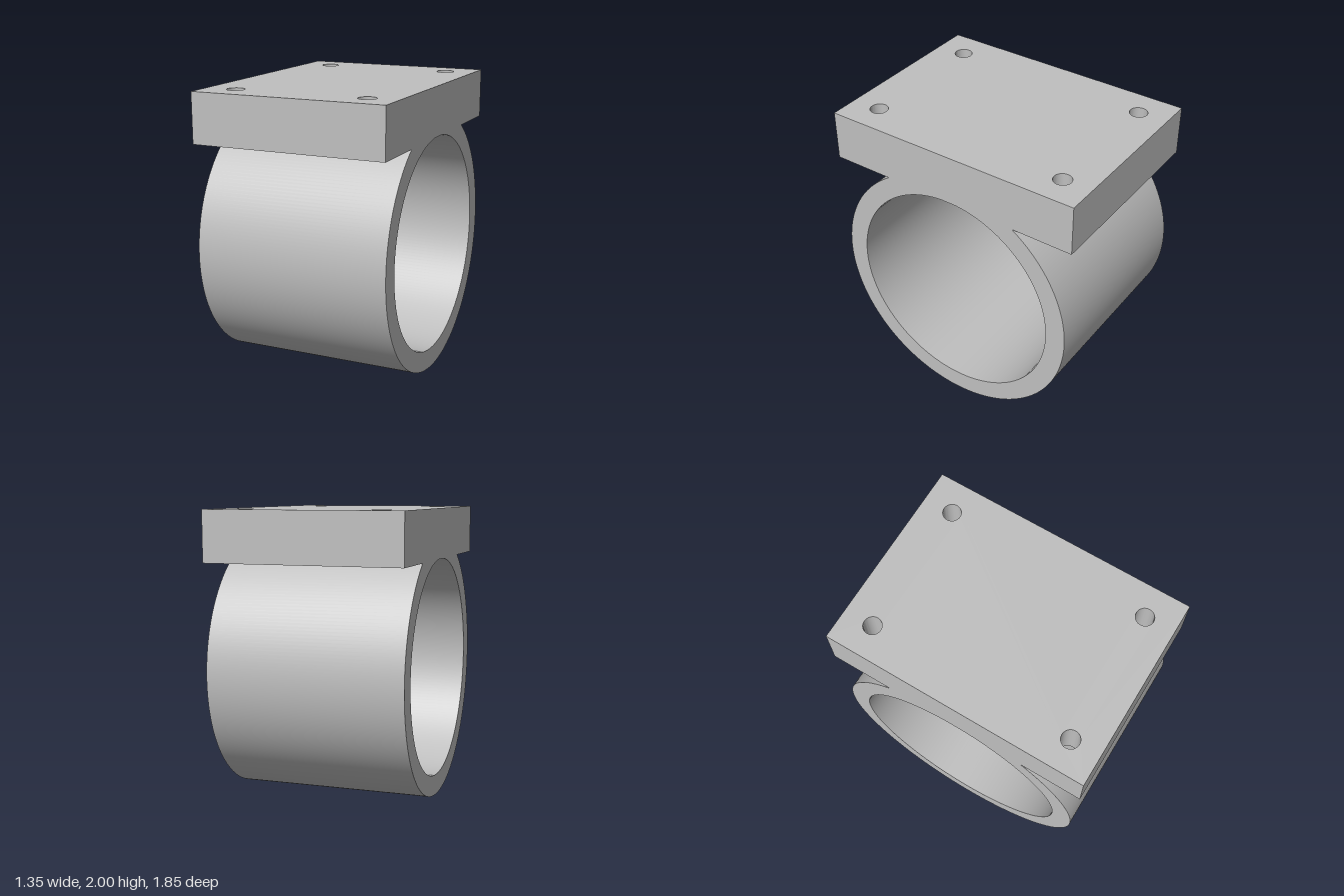
import * as THREE from 'three';
import { toCreasedNormals } from 'three/addons/utils/BufferGeometryUtils.js';

const WIDTH = 1.35, LENGTH = 1.846;      // plate size along x and z
const PLATE_BOTTOM = 1.655, TOP = 2;
const CENTRE_Y = 0.9, OUTER = 0.9, BORE = 0.757;

function extrude(shape, depth, curveSegments) {
  const geometry = new THREE.ExtrudeGeometry(shape, { depth, curveSegments, bevelEnabled: false });
  return toCreasedNormals(geometry, 0.5);
}

// Mounting plate with four vertical through holes
function plateGeometry() {
  const w = WIDTH / 2, l = LENGTH / 2;
  const shape = new THREE.Shape([
    new THREE.Vector2(-w, -l), new THREE.Vector2(w, -l),
    new THREE.Vector2(w, l), new THREE.Vector2(-w, l),
  ]);
  for (const sx of [-1, 1]) {
    for (const sz of [-1, 1]) {
      const hole = new THREE.Path();
      hole.absarc(sx * 0.466, sz * 0.715, 0.061, 0, Math.PI * 2, true);
      shape.holes.push(hole);
    }
  }
  return extrude(shape, TOP - PLATE_BOTTOM, 24)
    .rotateX(-Math.PI / 2)
    .translate(0, PLATE_BOTTOM, 0);
}

// Sleeve along x, cut flat where it meets the underside of the plate
function sleeveGeometry() {
  const rise = PLATE_BOTTOM - CENTRE_Y;
  const a = Math.asin(rise / OUTER), b = Math.asin(rise / BORE);
  const shape = new THREE.Shape();
  shape.absarc(0, CENTRE_Y, OUTER, a, Math.PI - a, true);
  shape.absarc(0, CENTRE_Y, BORE, Math.PI - b, Math.PI * 2 + b, false);
  return extrude(shape, WIDTH, 96)
    .translate(0, 0, -WIDTH / 2)
    .rotateY(Math.PI / 2);
}

export function createModel() {
  const grey = new THREE.MeshStandardMaterial({ color: 0xbfbfbf });
  grey.name = 'light grey';

  const model = new THREE.Group();
  model.name = 'pipeMount';
  const parts = { mountingPlate: plateGeometry(), sleeve: sleeveGeometry() };
  for (const [name, geometry] of Object.entries(parts)) {
    const mesh = new THREE.Mesh(geometry, grey);
    mesh.name = name;
    model.add(mesh);
  }
  return model;
}
